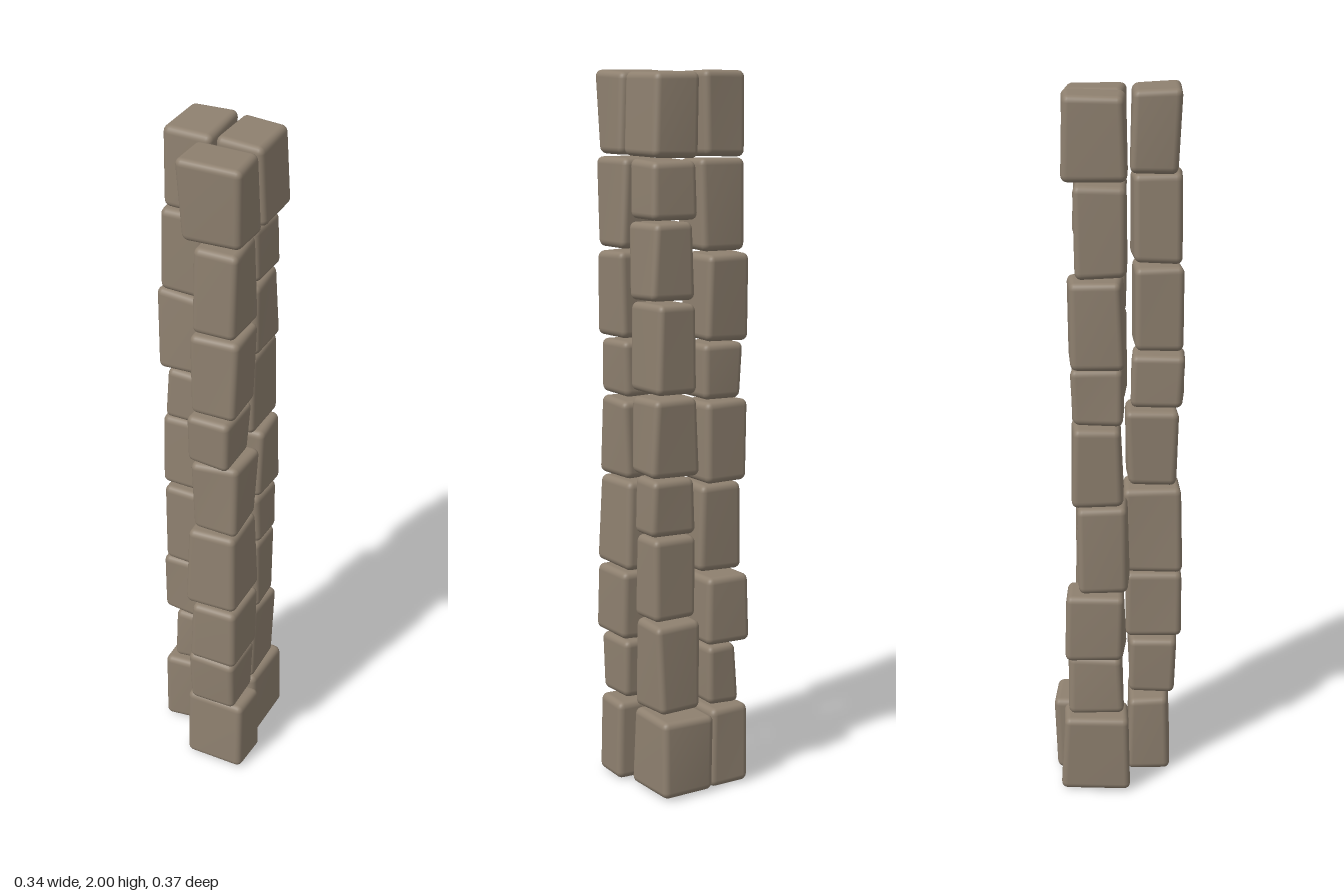
import * as THREE from 'three';
import { RoundedBoxGeometry } from 'three/addons/geometries/RoundedBoxGeometry.js';
import { mergeVertices } from 'three/addons/utils/BufferGeometryUtils.js';

const stoneMaterial = new THREE.MeshStandardMaterial({ color: 0x8e806f });
stoneMaterial.name = 'stone';

// small seeded generator for the uneven corners
let seed = 7;
const rand = () => (seed = (seed * 16807) % 2147483647) / 2147483647;

// A worn block: rounded box whose eight corners are pulled in by uneven amounts
function stone(name, [x0, x1], [y0, y1], [z0, z1]) {
  const size = [x1 - x0, y1 - y0, z1 - z0];
  let geo = new RoundedBoxGeometry(...size, 3, 0.02);
  geo.deleteAttribute('uv');
  geo.deleteAttribute('normal');
  geo = mergeVertices(geo, 1e-5);
  const pull = Array.from({ length: 8 }, () => [rand() * 0.016, rand() * 0.008, rand() * 0.016]);
  const pos = geo.attributes.position;
  for (let i = 0; i < pos.count; i++) {
    const p = [pos.getX(i), pos.getY(i), pos.getZ(i)];
    const t = p.map((v, k) => v / size[k] + 0.5);
    const out = [...p];
    for (let c = 0; c < 8; c++) {
      const bits = [c & 1, (c >> 1) & 1, (c >> 2) & 1];
      const w = bits.reduce((a, b, k) => a * (b ? t[k] : 1 - t[k]), 1);
      for (let k = 0; k < 3; k++) out[k] -= (bits[k] ? 1 : -1) * w * pull[c][k];
    }
    pos.setXYZ(i, ...out);
  }
  geo.computeVertexNormals();
  const mesh = new THREE.Mesh(geo, stoneMaterial);
  mesh.name = name;
  mesh.position.set((x0 + x1) / 2, (y0 + y1) / 2, (z0 + z1) / 2);
  return mesh;
}

// Courses: height of each joint, then [x0, x1, z0, z1] of every stone from the bottom up
const outerJoints = [0, 0.236, 0.412, 0.615, 0.873, 1.103, 1.265, 1.513, 1.767, 2];
const backJoints = [0, 0.232, 0.495, 0.737, 0.9, 1.127, 1.382, 1.6, 1.765, 2];
const columns = {
  frontColumn: [outerJoints, [
    [-0.032, 0.17, 0.018, 0.155], [-0.008, 0.148, 0.018, 0.175], [0, 0.155, 0.012, 0.19],
    [-0.008, 0.15, 0, 0.184], [0, 0.15, 0.015, 0.172], [0, 0.138, 0.03, 0.186],
    [0, 0.153, 0.03, 0.184], [0.008, 0.148, 0.028, 0.184], [-0.034, 0.155, 0.024, 0.171]]],
  rightColumn: [outerJoints, [
    [-0.158, -0.026, -0.17, 0.035], [-0.135, -0.022, -0.148, 0.02], [-0.168, -0.014, -0.16, 0.025],
    [-0.162, -0.016, -0.125, 0.035], [-0.176, -0.016, -0.135, 0.015], [-0.157, -0.014, -0.135, 0.02],
    [-0.178, -0.016, -0.145, 0.018], [-0.163, -0.014, -0.125, 0.03], [-0.147, -0.002, -0.156, 0.025]]],
  backColumn: [backJoints, [
    [-0.03, 0.142, -0.19, 0.014], [-0.018, 0.14, -0.15, 0.01], [-0.012, 0.14, -0.128, 0],
    [-0.01, 0.142, -0.126, 0], [-0.012, 0.148, -0.137, 0.005], [-0.01, 0.138, -0.136, 0.026],
    [-0.008, 0.14, -0.13, 0.026], [-0.008, 0.142, -0.13, 0.024], [-0.002, 0.152, -0.154, 0.024]]],
};

export function createModel() {
  const pillar = new THREE.Group();
  pillar.name = 'stonePillar';
  for (const [name, [joints, stones]] of Object.entries(columns)) {
    const column = new THREE.Group();
    column.name = name;
    stones.forEach(([x0, x1, z0, z1], i) => {
      const top = joints[i + 1];
      column.add(stone(`${name}Stone${i + 1}`, [x0, x1], [joints[i], top], [z0, z1]));
    });
    pillar.add(column);
  }
  return pillar;
}
